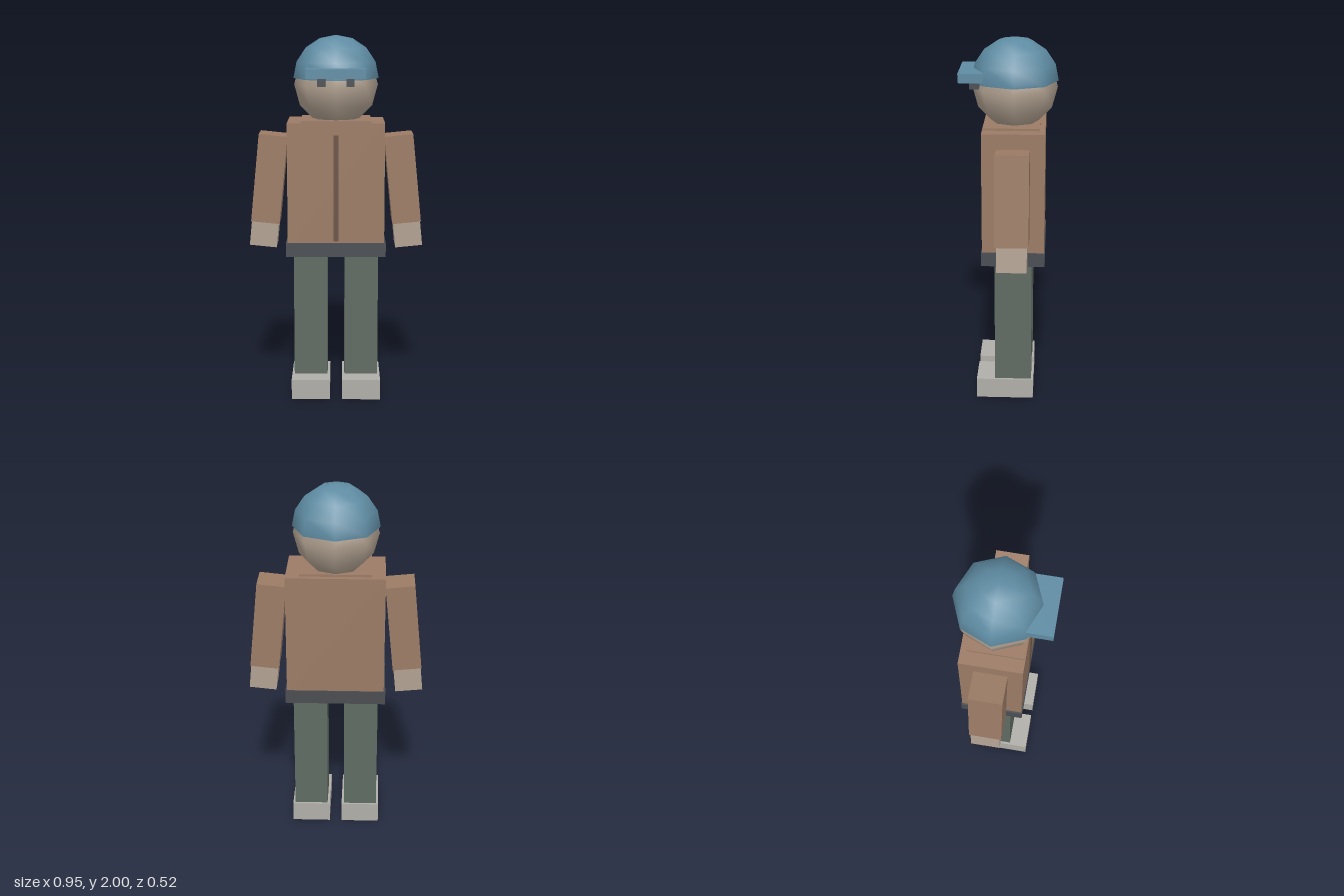
import * as THREE from 'three';

const mat = (color) => new THREE.MeshStandardMaterial({ color });

export function createModel() {
  const model = new THREE.Group();
  const MID = -0.03; // depth of the body's centre line

  const coat = mat(0x9b7b65);
  const skin = mat(0xb0a090);
  const trousers = mat(0x5f6b62);
  const dark = mat(0x4a4d52);
  const shoes = mat(0xb0aea8);
  const zip = mat(0x6b5344);
  const hat = mat(0x5f8ca3);
  hat.side = THREE.DoubleSide;

  const add = (name, geometry, material, x, y, z, parent = model) => {
    const mesh = new THREE.Mesh(geometry, material);
    mesh.name = name;
    mesh.position.set(x, y, z);
    parent.add(mesh);
    return mesh;
  };
  const box = (name, [w, h, d], material, [x, y, z], parent) =>
    add(name, new THREE.BoxGeometry(w, h, d), material, x, y, z, parent);

  // Torso with belt, collar and zip
  box('torso', [0.526, 0.68, 0.333], coat, [0, 1.2, MID]);
  box('belt', [0.544, 0.076, 0.342], dark, [0, 0.847, MID]);
  box('collar', [0.38, 0.05, 0.3], coat, [0, 1.527, -0.017]);
  box('zip', [0.026, 0.58, 0.02], zip, [0, 1.185, 0.133]);

  // Limbs and eyes, mirrored
  for (const [side, s] of [['left', 1], ['right', -1]]) {
    box(side + 'Leg', [0.186, 0.72, 0.202], trousers, [s * 0.14, 0.46, MID]);
    box(side + 'Shoe', [0.212, 0.114, 0.315], shoes, [s * 0.14, 0.057, 0.015]);

    // Arm tilted outwards, hand hanging from its end
    const arm = new THREE.Group();
    arm.name = side + 'Arm';
    arm.position.set(s * 0.365, 1.224, MID);
    arm.rotation.z = s * 0.1;
    model.add(arm);
    box(side + 'Sleeve', [0.157, 0.485, 0.177], coat, [0, 0, 0], arm);
    box(side + 'Hand', [0.149, 0.16, 0.16], skin, [0, -0.297, 0], arm);

    box(side + 'Eye', [0.043, 0.044, 0.06], dark, [s * 0.077, 1.76, 0.177]);
  }

  // Head and cap
  add('head', new THREE.SphereGeometry(0.228, 8, 6), skin, 0, 1.735, MID);
  add('cap', new THREE.SphereGeometry(0.232, 8, 4, 0, Math.PI * 2, 0, Math.PI / 2), hat, 0, 1.769, MID);
  box('capBrim', [0.314, 0.05, 0.2], hat, [0, 1.808, 0.163]);

  return model;
}
